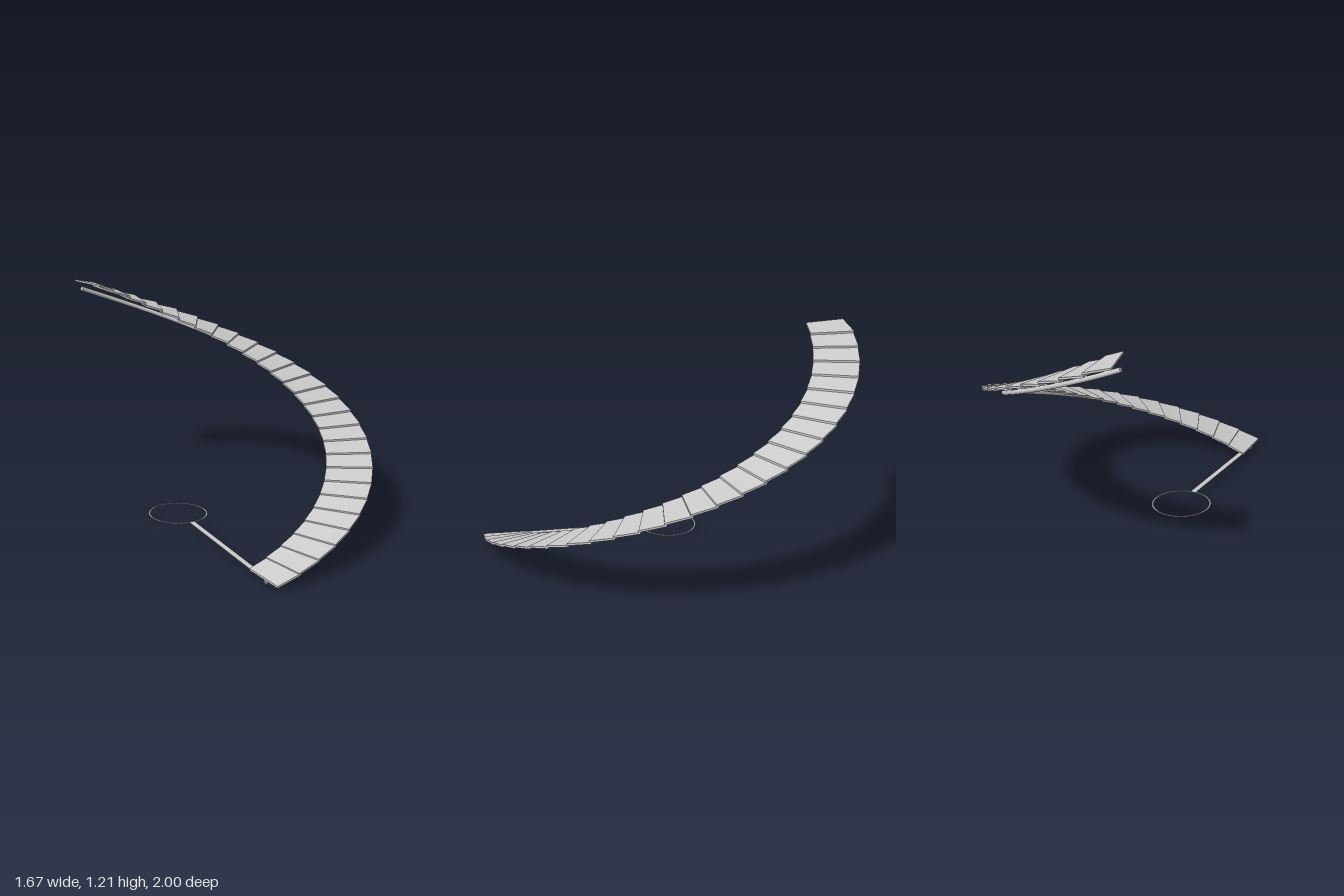
import * as THREE from 'three';

const material = new THREE.MeshStandardMaterial({ color: 0xcccccc });
const CX = -0.217, CZ = 0.056;            // axis of the spiral
const rad = THREE.MathUtils.degToRad;
const COUNT = 27, STEP = 7, START = 62.9;

// Climb that starts gently and steepens towards the top
const climb = (t, total) => total * t - 0.13 * t * (1 - t);

function addMesh(parent, geometry, name) {
  const mesh = new THREE.Mesh(geometry, material);
  mesh.name = name;
  parent.add(mesh);
  return mesh;
}

// Tilted wedge slab: front edge at angle 0, rear edge 7.6 degrees further up
function treadGeometry(rearRadius, rearLean) {
  const geometry = new THREE.BoxGeometry(1, 1, 1);
  const p = geometry.attributes.position;
  for (let i = 0; i < p.count; i++) {
    const outer = p.getX(i) > 0, top = p.getY(i) > 0, front = p.getZ(i) > 0;
    const radius = outer ? (front ? 1.056 : rearRadius) : 0.803;
    const angle = rad((front ? 0 : -7.6) + (outer ? 0 : front ? 1 : rearLean));
    const y = (front ? 0 : 0.036) - (top ? 0 : 0.011);
    p.setXYZ(i, radius * Math.cos(angle), y, radius * Math.sin(angle));
  }
  geometry.computeVertexNormals();
  return geometry;
}

// Helical path of the beam under the treads
class Helix extends THREE.Curve {
  getPoint(t, target = new THREE.Vector3()) {
    const a = rad(63.2 - 190.6 * t);
    return target.set(0.943 * Math.cos(a), 0.013 + climb(t, 1.158), 0.943 * Math.sin(a));
  }
}

// Tube with flat caps at both ends
function addBeam(parent) {
  const path = new Helix(), radius = 0.013;
  addMesh(parent, new THREE.TubeGeometry(path, 120, radius, 10), 'supportBeam');
  for (const [t, sign] of [[0, -1], [1, 1]]) {
    const cap = addMesh(parent, new THREE.CircleGeometry(radius, 10), 'beamEnd');
    cap.position.copy(path.getPoint(t));
    cap.quaternion.setFromUnitVectors(new THREE.Vector3(0, 0, 1), path.getTangent(t).multiplyScalar(sign));
  }
}

export function createModel() {
  const model = new THREE.Group();
  model.name = 'spiralStair';

  // Flight of lapped treads and the beam carrying them; the top tread is cut back
  const flight = new THREE.Group();
  flight.name = 'flight';
  flight.position.set(CX, 0, CZ);
  model.add(flight);
  const slab = treadGeometry(1.056, 1), topSlab = treadGeometry(1.035, 1.8);
  for (let i = 0; i < COUNT; i++) {
    const tread = addMesh(flight, i < COUNT - 1 ? slab : topSlab, 'tread');
    tread.position.y = 0.035 + climb(i / (COUNT - 1), 1.139);
    tread.rotation.y = -rad(START - i * STEP);
  }
  addBeam(flight);

  // Slightly tilted flat ring at the foot of the axis
  const ring = new THREE.Group();
  ring.name = 'ring';
  ring.position.set(-0.229, 0.05, 0.056);
  ring.rotation.set(-0.02, 0, -0.018);
  model.add(ring);
  const hoop = addMesh(ring, new THREE.TorusGeometry(0.159, 0.005, 8, 64), 'hoop');
  hoop.rotation.x = Math.PI / 2;
  hoop.scale.z = 0.5;

  // Flat arm from the ring to the lowest tread
  const from = new THREE.Vector3(-0.152, 0.052, 0.195);
  const to = new THREE.Vector3(0.153, 0.031, 0.775);
  const arm = addMesh(model, new THREE.BoxGeometry(0.03, 0.004, from.distanceTo(to)), 'arm');
  arm.position.copy(from).add(to).multiplyScalar(0.5);
  arm.lookAt(to);

  return model;
}
